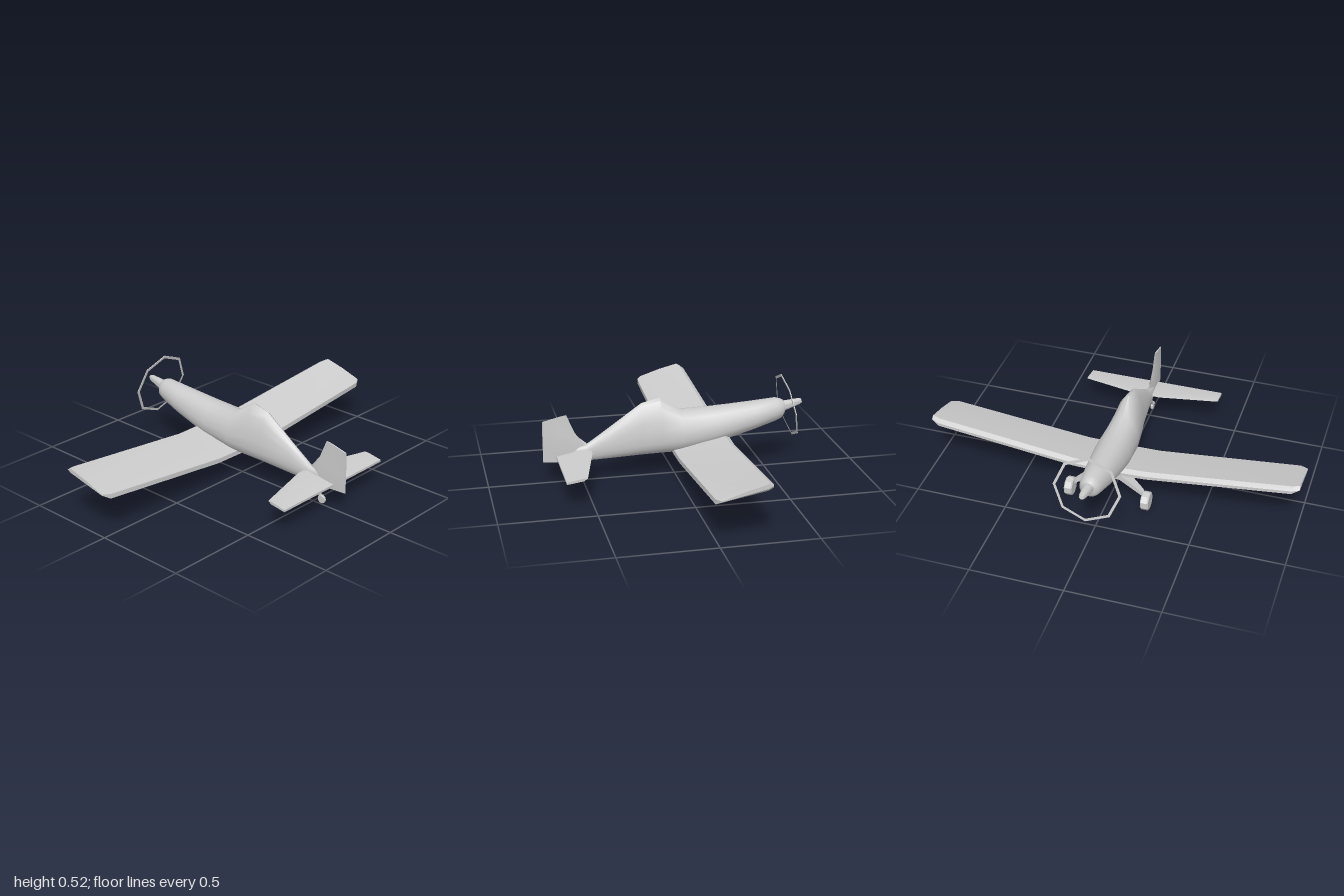
import * as THREE from 'three';
import { toCreasedNormals } from 'three/addons/utils/BufferGeometryUtils.js';

const material = new THREE.MeshStandardMaterial({ color: 0xcccccc });

// Skin through rings of [x, y, z] points, wound counter-clockwise about the direction of travel, ends capped.
function loft(rings, crease = 0.6) {
  const n = rings[0].length;
  const index = [];
  for (let i = 0; i < rings.length - 1; i++) {
    for (let j = 0; j < n; j++) {
      const a = i * n + j, b = i * n + (j + 1) % n;
      index.push(a, b, a + n, b, b + n, a + n);
    }
  }
  const last = (rings.length - 1) * n;
  for (let j = 1; j < n - 1; j++) {
    index.push(0, j + 1, j);
    index.push(last, last + j, last + j + 1);
  }
  const g = new THREE.BufferGeometry();
  g.setAttribute('position', new THREE.Float32BufferAttribute(rings.flat(2), 3));
  g.setIndex(index);
  return toCreasedNormals(g, crease);
}

function add(parent, name, geometry) {
  const mesh = new THREE.Mesh(geometry, material);
  mesh.name = name;
  parent.add(mesh);
  return mesh;
}

// Repeats right-hand stations [x, ...] on the other side, ordered from -x to +x.
const bothSides = (stations) => [
  ...stations.map(([x, ...rest]) => [-x, ...rest]).reverse(),
  ...stations,
];

function fuselage() {
  // z, bottom, height of widest line, top, half width, pointedness of the upper half
  const sections = [
    [-0.605, 0.295, 0.33, 0.37, 0.036, 1],
    [-0.59, 0.275, 0.325, 0.38, 0.05, 1],
    [-0.56, 0.262, 0.32, 0.388, 0.059, 1],
    [-0.44, 0.225, 0.29, 0.377, 0.077, 0.9],
    [-0.3, 0.187, 0.26, 0.368, 0.089, 0.9],
    [-0.2, 0.163, 0.24, 0.363, 0.096, 0.9],
    [-0.03, 0.13, 0.22, 0.362, 0.091, 0.95],
    [0.08, 0.128, 0.215, 0.434, 0.077, 1.25],
    [0.18, 0.124, 0.205, 0.41, 0.06, 1.25],
    [0.36, 0.115, 0.18, 0.283, 0.036, 1.1],
    [0.48, 0.111, 0.16, 0.2, 0.024, 1],
    [0.56, 0.112, 0.15, 0.185, 0.015, 1],
    [0.68, 0.117, 0.14, 0.165, 0.002, 1],
  ];
  const sides = 18;
  return loft(sections.map(([z, low, mid, top, w, e]) =>
    Array.from({ length: sides }, (_, i) => {
      const t = (i / sides) * Math.PI * 2 + Math.PI / 2;
      const c = Math.cos(t), s = Math.sin(t);
      const x = w * Math.sign(c) * Math.pow(Math.abs(c), s > 0 ? e : 0.9);
      return [x, mid + s * (s > 0 ? top - mid : mid - low), z];
    })), 0.8);
}

function wing() {
  // Aerofoil as [z, y]: trailing edge, underside, leading edge, upper side
  const foil = [[0.015, -0.025], [-0.13, 0], [-0.255, 0.022], [-0.28, 0.035],
    [-0.28, 0.052], [-0.255, 0.066], [-0.13, 0.04], [0.015, 0]];
  // x, height, chord scale, leading edge shift, underside lift at the bevelled tip
  const stations = bothSides([
    [0.04, 0.153, 1.03, 0, 0],
    [0.2, 0.155, 1.01, 0, 0],
    [0.96, 0.235, 0.96, 0, 0],
    [1, 0.24, 0.84, -0.02, 0.02],
  ]);
  return loft(stations.map(([x, y, k, shift, lift]) =>
    foil.map(([z, h], i) => [x, y + h + (i < 4 ? lift : 0), z * k + shift])));
}

function tailplane() {
  // x, leading edge z
  const stations = bothSides([[0.07, 0.455], [0.385, 0.53]]);
  const yAt = (z) => 0.173 - (z - 0.46) * 0.18;
  return loft(stations.map(([x, front]) => [
    [x, yAt(0.637) - 0.006, 0.637],
    [x, yAt(front + 0.02) - 0.009, front + 0.02],
    [x, yAt(front), front],
    [x, yAt(front + 0.02) + 0.006, front + 0.02],
    [x, yAt(0.637) + 0.006, 0.637],
  ]));
}

function fin() {
  // front y, rear y, front z, rear z, half thickness
  const sections = [
    [0.111, 0.118, 0.48, 0.708, 0.012],
    [0.2, 0.2, 0.483, 0.708, 0.016],
    [0.27, 0.265, 0.537, 0.708, 0.01],
    [0.373, 0.343, 0.58, 0.706, 0.004],
  ];
  return loft(sections.map(([yf, yr, zf, zr, w]) => {
    const at = (k, x) => [x, yf + (yr - yf) * k, zf + (zr - zf) * k];
    return [at(0, 0), at(0.28, -w), at(1, -0.003), at(1, 0.003), at(0.28, w)];
  }), 0.8);
}

function gearLegs() {
  // x, y, z, half depth, half thickness
  const stations = bothSides([
    [0.06, 0.168, -0.24, 0.038, 0.018],
    [0.18, 0.085, -0.262, 0.016, 0.012],
    [0.205, 0.06, -0.275, 0.014, 0.012],
  ]);
  return loft(stations.map(([x, y, z, d, t]) =>
    [[-1, -1], [1, -1], [1, 1], [-1, 1]].map(([a, b]) => [x, y + a * t, z + b * d])));
}

// Short wheel with chamfered rims, axle along x
function wheel(r, w, bevel, sides) {
  const profile = [[0, -w], [r - bevel, -w], [r, bevel - w], [r, w - bevel], [r - bevel, w], [0, w]]
    .map(([x, y]) => new THREE.Vector2(x, y));
  return toCreasedNormals(new THREE.LatheGeometry(profile, sides).rotateZ(Math.PI / 2), 0.5);
}

export function createModel() {
  const model = new THREE.Group();
  model.name = 'propellerAeroplane';

  add(model, 'fuselage', fuselage());
  add(model, 'wing', wing());
  add(model, 'tailplane', tailplane());
  add(model, 'fin', fin());

  // Main landing gear
  add(model, 'landingGearLegs', gearLegs());
  for (const [side, s] of [['left', 1], ['right', -1]]) {
    add(model, side + 'Wheel', wheel(0.051, 0.022, 0.006, 9)).position.set(s * 0.21, 0.053, -0.287);
  }

  // Tail wheel on a raked strut
  add(model, 'tailStrut', loft([[0.13, 0.492, 0.02], [0.11, 0.508, 0.013], [0.035, 0.56, 0.007]].map(
    ([y, z, d]) => [[-0.005, y, z - d], [-0.005, y, z + d], [0.005, y, z + d], [0.005, y, z - d]].reverse())));
  add(model, 'tailWheel', wheel(0.024, 0.007, 0.002, 9)).position.set(0, 0.034, 0.558);

  // Spinner, tilted up slightly with the thrust line
  const spinnerProfile = [[0, 0], [0.036, 0], [0.029, 0.035], [0.018, 0.125], [0.012, 0.139], [0, 0.141]]
    .map(([x, y]) => new THREE.Vector2(x, y));
  const spinner = add(model, 'spinner', toCreasedNormals(new THREE.LatheGeometry(spinnerProfile, 10), 0.7));
  spinner.position.set(0, 0.331, -0.57);
  spinner.rotation.x = -1.35;

  // Thin eight-sided ring marking the propeller sweep
  const octagon = (r) => Array.from({ length: 8 }, (_, i) =>
    new THREE.Vector2(r * Math.sin(i * Math.PI / 4), r * Math.cos(i * Math.PI / 4)));
  const shape = new THREE.Shape(octagon(0.179));
  shape.holes.push(new THREE.Path(octagon(0.164)));
  const ring = add(model, 'propellerRing',
    new THREE.ExtrudeGeometry(shape, { depth: 0.004, bevelEnabled: false }).translate(0, 0, -0.002));
  ring.position.set(0, 0.344, -0.624);
  ring.rotation.x = 0.203;

  return model;
}
